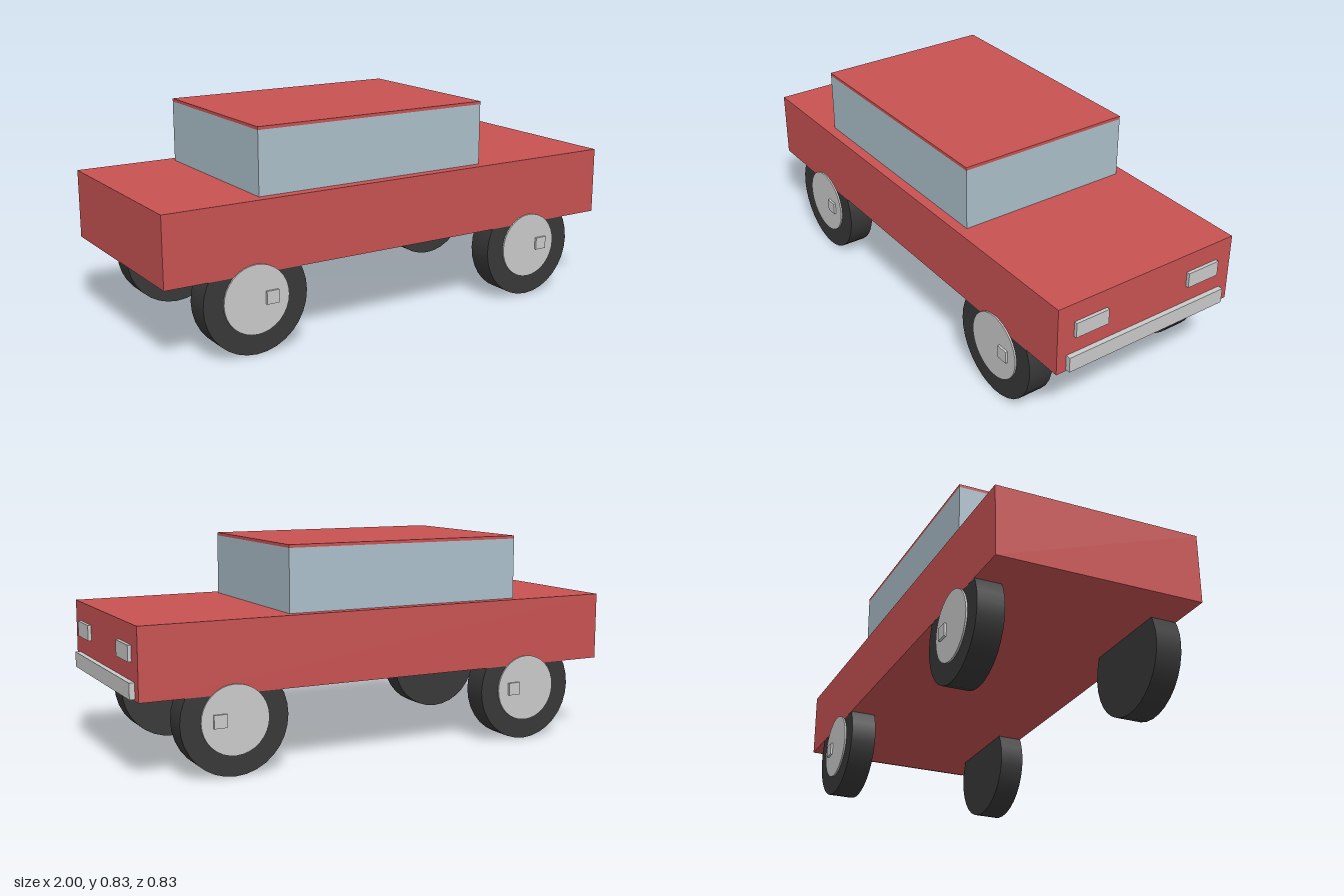
import * as THREE from 'three';

const paint = new THREE.MeshStandardMaterial({ color: 0xc85252 });
paint.name = 'red paint';
const glass = new THREE.MeshStandardMaterial({ color: 0xacbfca });
glass.name = 'pale blue glass';
const rubber = new THREE.MeshStandardMaterial({ color: 0x383838 });
rubber.name = 'dark rubber';
const metal = new THREE.MeshStandardMaterial({ color: 0xcacaca });
metal.name = 'light metal';

// Box given by its extents along each axis
function box(name, material, [x0, x1], [y0, y1], [z0, z1]) {
  const mesh = new THREE.Mesh(new THREE.BoxGeometry(x1 - x0, y1 - y0, z1 - z0), material);
  mesh.name = name;
  mesh.position.set((x0 + x1) / 2, (y0 + y1) / 2, (z0 + z1) / 2);
  return mesh;
}

// Disc with its axle along z
function disc(name, material, radius, z0, z1) {
  const geometry = new THREE.CylinderGeometry(radius, radius, z1 - z0, 32).rotateX(Math.PI / 2);
  const mesh = new THREE.Mesh(geometry, material);
  mesh.name = name;
  mesh.position.z = (z0 + z1) / 2;
  return mesh;
}

// Tyre, hubcap and off-centre cap nut; side is +1 or -1 along z
function wheel(name, x, side) {
  const group = new THREE.Group();
  group.name = name;
  group.position.set(x, 0.21, 0);
  const span = (a, b) => (side > 0 ? [a, b] : [-b, -a]);
  group.add(
    disc('tyre', rubber, 0.21, ...span(0.295, 0.3975)),
    disc('hubcap', metal, 0.132, ...span(0.39, 0.404)),
    box('capNut', metal, [0.036, 0.086], [-0.023, 0.027], span(0.4, 0.413)),
  );
  return group;
}

export function createModel() {
  const car = new THREE.Group();
  car.name = 'car';

  // Body, cabin and roof
  car.add(
    box('body', paint, [-1, 0.98], [0.305, 0.574], [-0.398, 0.398]),
    box('cabin', glass, [-0.605, 0.388], [0.574, 0.815], [-0.357, 0.357]),
    box('roof', paint, [-0.605, 0.388], [0.815, 0.827], [-0.357, 0.357]),
  );

  // Bumper and headlights at the +x end
  car.add(box('bumper', metal, [0.98, 1], [0.311, 0.371], [-0.357, 0.357]));
  for (const side of [-1, 1]) {
    const z = 0.256 * side;
    car.add(box('headlight', metal, [0.98, 0.993], [0.439, 0.499], [z - 0.071, z + 0.071]));
  }

  // Wheels
  for (const side of [-1, 1]) {
    car.add(wheel('rearWheel', -0.645, side), wheel('frontWheel', 0.624, side));
  }
  return car;
}
